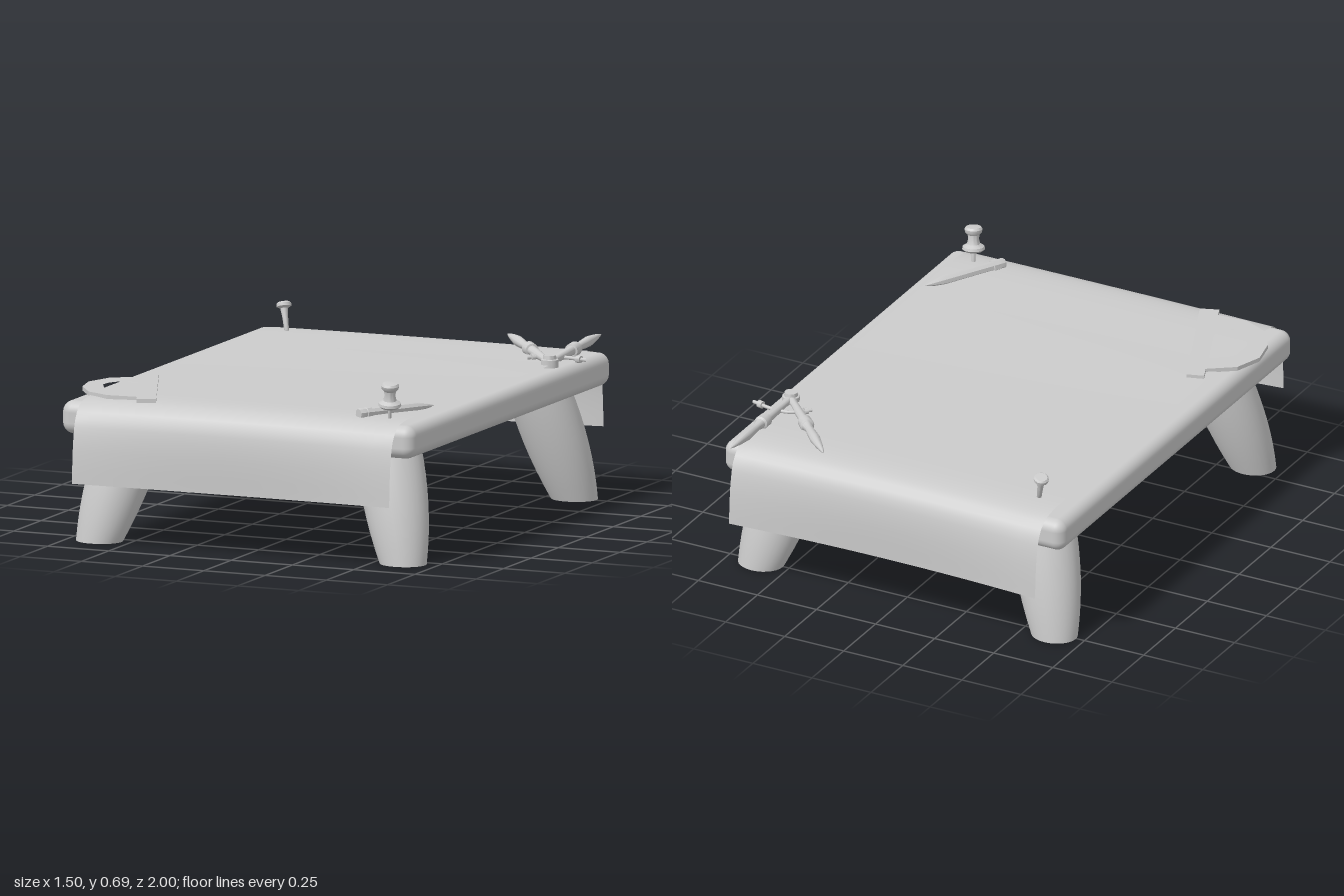
import * as THREE from 'three';
import { toCreasedNormals } from 'three/addons/utils/BufferGeometryUtils.js';
import { RoundedBoxGeometry } from 'three/addons/geometries/RoundedBoxGeometry.js';

const grey = new THREE.MeshStandardMaterial({ color: 0xcccccc });
const greyThin = new THREE.MeshStandardMaterial({ color: 0xcccccc, side: THREE.DoubleSide });
const V = (x, y, z) => new THREE.Vector3(x, y, z);
const UP = V(0, 1, 0);

function add(parent, name, geometry, material = grey) {
  const mesh = new THREE.Mesh(geometry, material);
  mesh.name = name;
  parent.add(mesh);
  return mesh;
}

// Turned part: profile of [radius, distance] pairs, running from one point towards another
function turned(parent, name, profile, from, to, sides = 16) {
  const points = profile.map(([r, d]) => new THREE.Vector2(r, d));
  const mesh = add(parent, name, toCreasedNormals(new THREE.LatheGeometry(points, sides), 0.7));
  mesh.position.copy(from);
  mesh.quaternion.setFromUnitVectors(UP, to.clone().sub(from).normalize());
  return mesh;
}

// Splayed, slightly bulging oval leg
function legGeometry(sx, sz) {
  const geo = new THREE.CylinderGeometry(1, 1, 1, 28, 8);
  const p = geo.attributes.position;
  const lerp = THREE.MathUtils.lerp;
  for (let i = 0; i < p.count; i++) {
    const t = p.getY(i) + 0.5, bulge = 4 * t * (1 - t);
    const rx = lerp(0.09, 0.125, t) + 0.018 * bulge;
    const rz = lerp(0.078, 0.107, t) + 0.013 * bulge;
    p.setXYZ(i,
      -0.005 + sx * lerp(0.62, 0.515, t) + rx * p.getX(i),
      0.43 * t,
      0.025 + sz * lerp(0.78, 0.682, t) + rz * p.getZ(i));
  }
  return toCreasedNormals(geo, 0.8);
}

// Sheet lying on the top and hanging over both ends, bowed inward at mid-width
function sheetGeometry() {
  const half = [[0.977, 0.243], [0.973, 0.33], [0.963, 0.42], [0.943, 0.49], [0.905, 0.532], [0.84, 0.549], [0.5, 0.551]];
  const back = half.map(([z, y]) => V(0, y, -z));
  const front = half.map(([z, y]) => V(0, y, z)).reverse();
  const curve = new THREE.CatmullRomCurve3([...back, V(0, 0.549, 0), ...front], false, 'centripetal');
  const geo = new THREE.PlaneGeometry(1.295, 1, 16, 80);
  const p = geo.attributes.position;
  for (let i = 0; i < p.count; i++) {
    const x = p.getX(i), c = curve.getPointAt(THREE.MathUtils.clamp(0.5 - p.getY(i), 0, 1));
    const bow = 1 - (x / 0.6475) ** 2;
    const hang = THREE.MathUtils.clamp((0.55 - c.y) / 0.3, 0, 1);
    p.setXYZ(i, x - 0.003, c.y + 0.004 * bow * (1 - 2 * hang), c.z + 0.0225 - Math.sign(c.z) * 0.03 * bow * hang);
  }
  geo.computeVertexNormals();
  return geo;
}

// Flat half-round measuring plate with a window
function protractorGeometry() {
  const outer = [[-0.575, 0.376], [-0.363, 0.874], [-0.432, 0.9], [-0.448, 0.858], [-0.564, 0.869], [-0.66, 0.826],
    [-0.728, 0.731], [-0.75, 0.625], [-0.713, 0.519], [-0.617, 0.45], [-0.638, 0.397]];
  const inner = [[-0.585, 0.535], [-0.488, 0.77], [-0.554, 0.786], [-0.633, 0.742], [-0.675, 0.662], [-0.67, 0.618], [-0.644, 0.577]];
  const toVec = ([x, z]) => new THREE.Vector2(x, -z);
  const shape = new THREE.Shape(outer.map(toVec));
  shape.holes.push(new THREE.Path(inner.map(toVec)));
  const geo = new THREE.ExtrudeGeometry(shape, { depth: 0.016, bevelEnabled: false });
  return geo.rotateX(-Math.PI / 2).translate(0, 0.548, 0);
}

function makeCompass() {
  const compass = new THREE.Group();
  compass.name = 'drawingCompass';
  const hinge = V(0.635, 0.558, -0.485);
  // Two arms: slim shank, collar, pointed blade
  const arm = [[0, 0.01], [0.017, 0.01], [0.014, 0.06], [0.017, 0.13], [0.019, 0.21], [0.026, 0.212], [0.027, 0.255],
    [0.02, 0.26], [0.015, 0.29], [0.018, 0.33], [0.02, 0.38], [0.014, 0.44], [0.007, 0.485], [0, 0.513]];
  turned(compass, 'leftArm', arm, hinge, V(0.617, 0.583, -0.996));
  turned(compass, 'rightArm', arm, hinge, V(0.29, 0.583, -0.867));
  // Hinge with cap
  turned(compass, 'hinge', [[0, -0.02], [0.033, -0.02], [0.033, 0.012], [0.026, 0.014], [0.024, 0.028], [0, 0.028]],
    hinge, hinge.clone().add(UP), 20);
  // Curved spreader bar with end nuts
  const bar = new THREE.CatmullRomCurve3([V(0.52, 0.56, -0.535), V(0.55, 0.56, -0.568), V(0.59, 0.56, -0.592),
    V(0.65, 0.56, -0.597), V(0.744, 0.56, -0.577)]);
  add(compass, 'spreaderBar', new THREE.TubeGeometry(bar, 20, 0.007, 8));
  turned(compass, 'spreaderNut', [[0, 0], [0.014, 0], [0.014, 0.02], [0, 0.02]], V(0.7, 0.56, -0.586), V(0.744, 0.56, -0.577));
  turned(compass, 'spreaderNut', [[0, 0], [0.014, 0], [0.014, 0.014], [0, 0.014]], V(0.54, 0.56, -0.558), V(0.52, 0.56, -0.535));
  return compass;
}

export function createModel() {
  const model = new THREE.Group();
  model.name = 'draftingTable';

  // Table
  add(model, 'tableTop', new RoundedBoxGeometry(1.44, 0.125, 1.825, 5, 0.042)).position.set(-0.01, 0.478, 0.0225);
  for (const sx of [-1, 1]) for (const sz of [-1, 1]) {
    add(model, (sz > 0 ? 'front' : 'back') + (sx > 0 ? 'Left' : 'Right') + 'Leg', legGeometry(sx, sz));
  }
  add(model, 'paperSheet', sheetGeometry(), greyThin);

  // Drawing tools
  add(model, 'protractor', protractorGeometry());
  model.add(makeCompass());
  turned(model, 'pencil', [[0, 0], [0.019, 0], [0.021, 0.006], [0.021, 0.03], [0.024, 0.032], [0.024, 0.052], [0.019, 0.054],
    [0.019, 0.265], [0.006, 0.33], [0, 0.348]], V(0.456, 0.563, 0.857), V(0.63, 0.561, 0.555), 8);

  // Pins
  turned(model, 'pushPin', [[0, -0.02], [0.007, 0], [0.007, 0.042], [0.034, 0.044], [0.043, 0.052], [0.041, 0.062], [0.025, 0.072],
    [0.021, 0.088], [0.022, 0.108], [0.032, 0.118], [0.034, 0.13], [0.029, 0.138], [0, 0.142]],
    V(0.572, 0.55, 0.833), V(0.583, 0.69, 0.853), 20);
  turned(model, 'tack', [[0, -0.01], [0.009, 0], [0.011, 0.05], [0.015, 0.085], [0.028, 0.092], [0.028, 0.103], [0.022, 0.109], [0, 0.109]],
    V(-0.556, 0.553, -0.747), V(-0.582, 0.657, -0.776), 16);

  return model;
}
